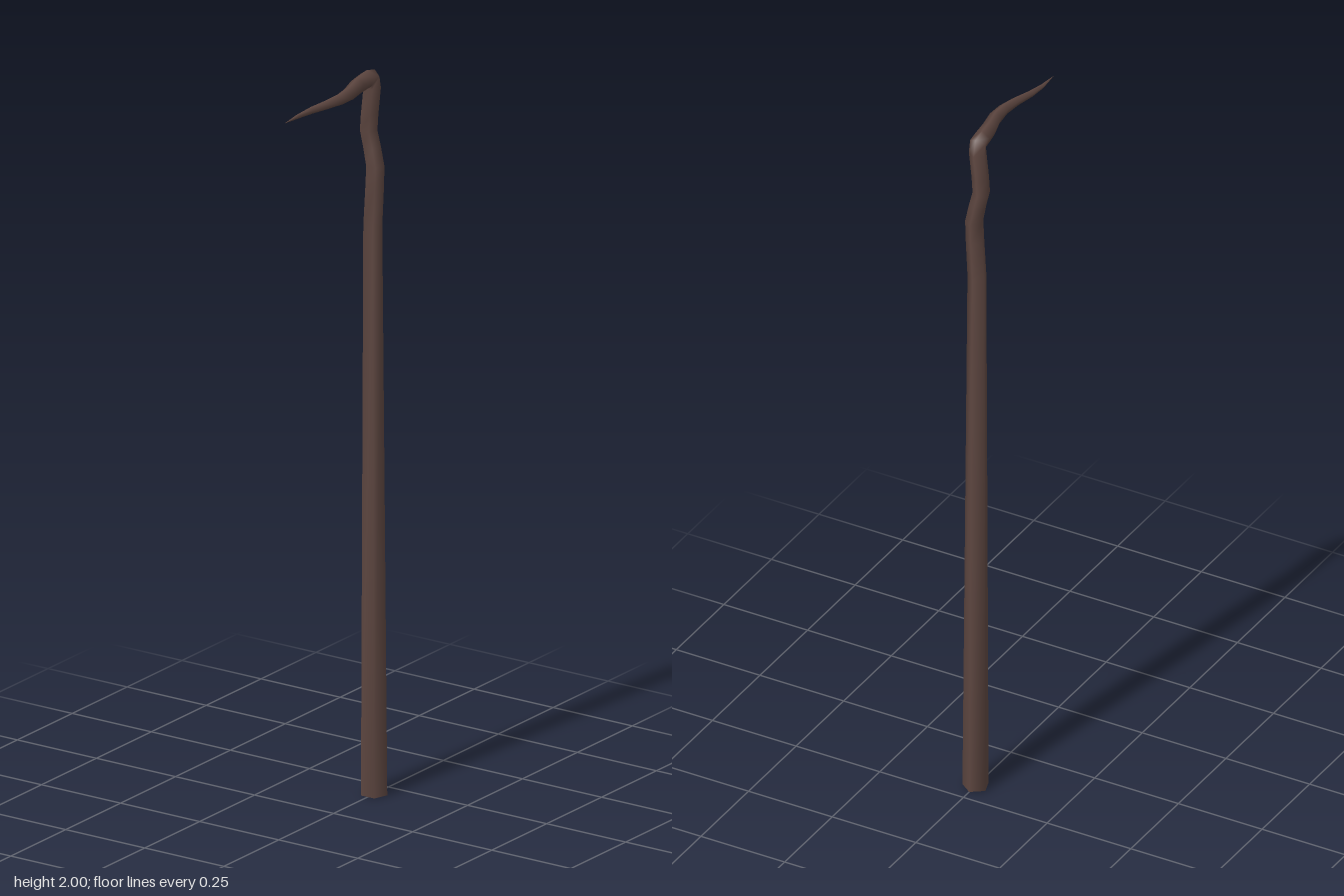
import * as THREE from 'three';

const SIDES = 5;

// Each ring: centre x, y, z, radius, tilt in degrees (0 = upright staff, 90 = level hook)
const RINGS = [
  [0, 0, -0.184, 0.036, 0],
  [-0.002, 1.57, -0.181, 0.026, 0],
  [0.004, 1.68, -0.181, 0.0255, 0],
  [0.006, 1.735, -0.181, 0.025, 0],
  [-0.004, 1.785, -0.181, 0.0245, 0],
  [-0.015, 1.83, -0.181, 0.024, 0],
  [-0.012, 1.875, -0.181, 0.024, 0],
  [-0.004, 1.95, -0.181, 0.024, 0],
  // elbow
  [-0.003, 1.977, -0.175, 0.024, 45],
  [-0.002, 1.98, -0.155, 0.0235, 90],
  // wavy hook
  [0.006, 1.979, -0.1, 0.022, 90],
  [0.02, 1.977, -0.045, 0.019, 90],
  [0.023, 1.975, 0.005, 0.0155, 90],
  [0.016, 1.973, 0.055, 0.0125, 90],
  [0.003, 1.97, 0.11, 0.0095, 90],
  [-0.003, 1.967, 0.16, 0.006, 90],
  [-0.003, 1.965, 0.218, 0.0003, 90],
];

// Corner j of a ring; corner 0 is the ridge at the back of the staff and top of the hook
function corner([x, y, z, r, tilt], j) {
  const a = THREE.MathUtils.degToRad(tilt);
  const t = (j / SIDES) * Math.PI * 2;
  const n = r * Math.cos(t);
  return [x + r * Math.sin(t), y + n * Math.sin(a), z - n * Math.cos(a)];
}

function loft(rings) {
  const pos = [], index = [];
  rings.forEach((ring, i) => {
    for (let j = 0; j < SIDES; j++) {
      pos.push(...corner(ring, j));
      if (i === rings.length - 1) continue;
      const k = (j + 1) % SIDES;
      const a = i * SIDES + j, b = i * SIDES + k;
      index.push(a, a + SIDES, b, b, a + SIDES, b + SIDES);
    }
  });
  const geo = new THREE.BufferGeometry();
  geo.setAttribute('position', new THREE.Float32BufferAttribute(pos, 3));
  geo.setIndex(index);
  geo.computeVertexNormals();
  return geo;
}

// Flat pentagonal end facing down
function endCap(ring) {
  const pos = [], index = [];
  for (let j = 0; j < SIDES; j++) pos.push(...corner(ring, j));
  for (let j = 1; j < SIDES - 1; j++) index.push(0, j, j + 1);
  const geo = new THREE.BufferGeometry();
  geo.setAttribute('position', new THREE.Float32BufferAttribute(pos, 3));
  geo.setIndex(index);
  geo.computeVertexNormals();
  return geo;
}

export function createModel() {
  const group = new THREE.Group();
  group.name = 'hookedStaff';
  const wood = new THREE.MeshStandardMaterial({ color: 0x5d4640 });

  // staff, elbow and hook in one continuous sweep
  const shaft = new THREE.Mesh(loft(RINGS), wood);
  shaft.name = 'shaftAndHook';

  const foot = new THREE.Mesh(endCap(RINGS[0]), wood);
  foot.name = 'footEnd';

  group.add(shaft, foot);
  return group;
}
